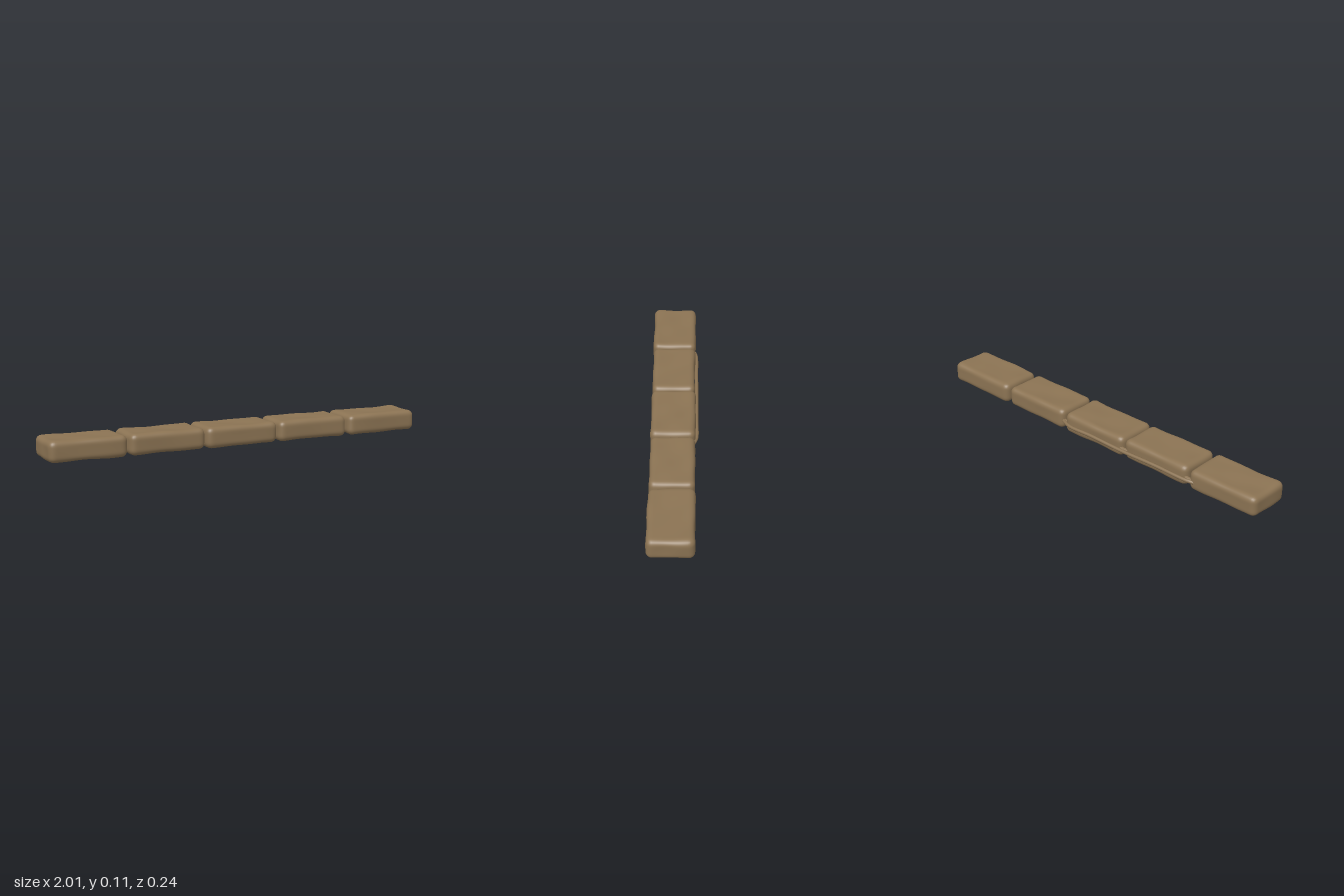
import * as THREE from 'three';
import { mergeVertices } from 'three/addons/utils/BufferGeometryUtils.js';

const clay = new THREE.MeshStandardMaterial({ color: 0x8b7353 });
clay.name = 'brown clay';

// Smooth, repeatable unevenness, about -1 to 1
function wobble(x, y, z, seed) {
  return 0.5 * Math.sin(17 * x + 9 * z + seed * 2.1) * Math.cos(21 * z - 13 * y + seed)
    + 0.3 * Math.sin(31 * x - 27 * z + 19 * y + seed * 3.7)
    + 0.2 * Math.cos(43 * z + 37 * y + 11 * x + seed * 5.3);
}

// Softly rounded, worn block with slightly sunken large faces
function blockGeometry(w, h, d, seed) {
  let geo = new THREE.BoxGeometry(w, h, d, 40, 14, 26);
  const p = geo.attributes.position;
  const r = 0.029;
  const half = new THREE.Vector3(w / 2, h / 2, d / 2);
  const inner = half.clone().subScalar(r);
  const v = new THREE.Vector3(), core = new THREE.Vector3(), n = new THREE.Vector3();
  for (let i = 0; i < p.count; i++) {
    v.fromBufferAttribute(p, i);
    core.copy(v).clamp(inner.clone().negate(), inner);
    n.copy(v).sub(core).normalize();
    v.copy(core).addScaledVector(n, r);
    const u = v.x / half.x, t = v.z / half.z;
    // dished top and bottom, gently bulging ends and sides
    v.y -= n.y * 0.004 * (1 - u * u) * (1 - t * t);
    v.x += n.x * 0.003 * (1 - t * t);
    // chipped and irregular skin
    v.addScaledVector(n, 0.0035 * wobble(v.x, v.y, v.z, seed) - 0.001);
    p.setXYZ(i, v.x, v.y, v.z);
  }
  geo.deleteAttribute('normal');
  geo.deleteAttribute('uv');
  geo = mergeVertices(geo, 1e-5);
  geo.computeVertexNormals();
  return geo;
}

function strand(name, points, radius) {
  const curve = new THREE.CatmullRomCurve3(points.map(a => new THREE.Vector3(...a)));
  const mesh = new THREE.Mesh(new THREE.TubeGeometry(curve, 40, radius, 8), clay);
  mesh.name = name;
  return mesh;
}

export function createModel() {
  const model = new THREE.Group();
  model.name = 'blockRow';

  // Five blocks: left edge, right edge, centre z, depth
  const blocks = [
    [-1, -0.613, 0.004, 0.226],
    [-0.597, -0.208, 0.003, 0.218],
    [-0.197, 0.186, 0.001, 0.222],
    [0.203, 0.587, 0, 0.216],
    [0.605, 1, 0, 0.22],
  ];
  blocks.forEach(([a, b, z, d], i) => {
    const mesh = new THREE.Mesh(blockGeometry(b - a, 0.106, d, i * 1.9 + 0.6), clay);
    mesh.position.set((a + b) / 2, 0.055, z);
    mesh.name = 'block' + (i + 1);
    model.add(mesh);
  });

  // Thin ridge running along the back of the middle blocks
  model.add(strand('backStrand', [
    [-0.65, 0.045, -0.098], [-0.61, 0.047, -0.11], [-0.4, 0.05, -0.113],
    [-0.2, 0.046, -0.114], [0, 0.05, -0.114], [0.15, 0.047, -0.113], [0.205, 0.05, -0.095],
  ], 0.009));

  // Small bridges joining blocks across the gaps
  for (const [x, z] of [[-0.605, -0.09], [-0.605, -0.045], [-0.203, -0.095], [0.195, -0.085]]) {
    model.add(strand('gapBridge', [[x - 0.03, 0.048, z], [x, 0.046, z - 0.004], [x + 0.03, 0.05, z]], 0.012));
  }
  return model;
}
